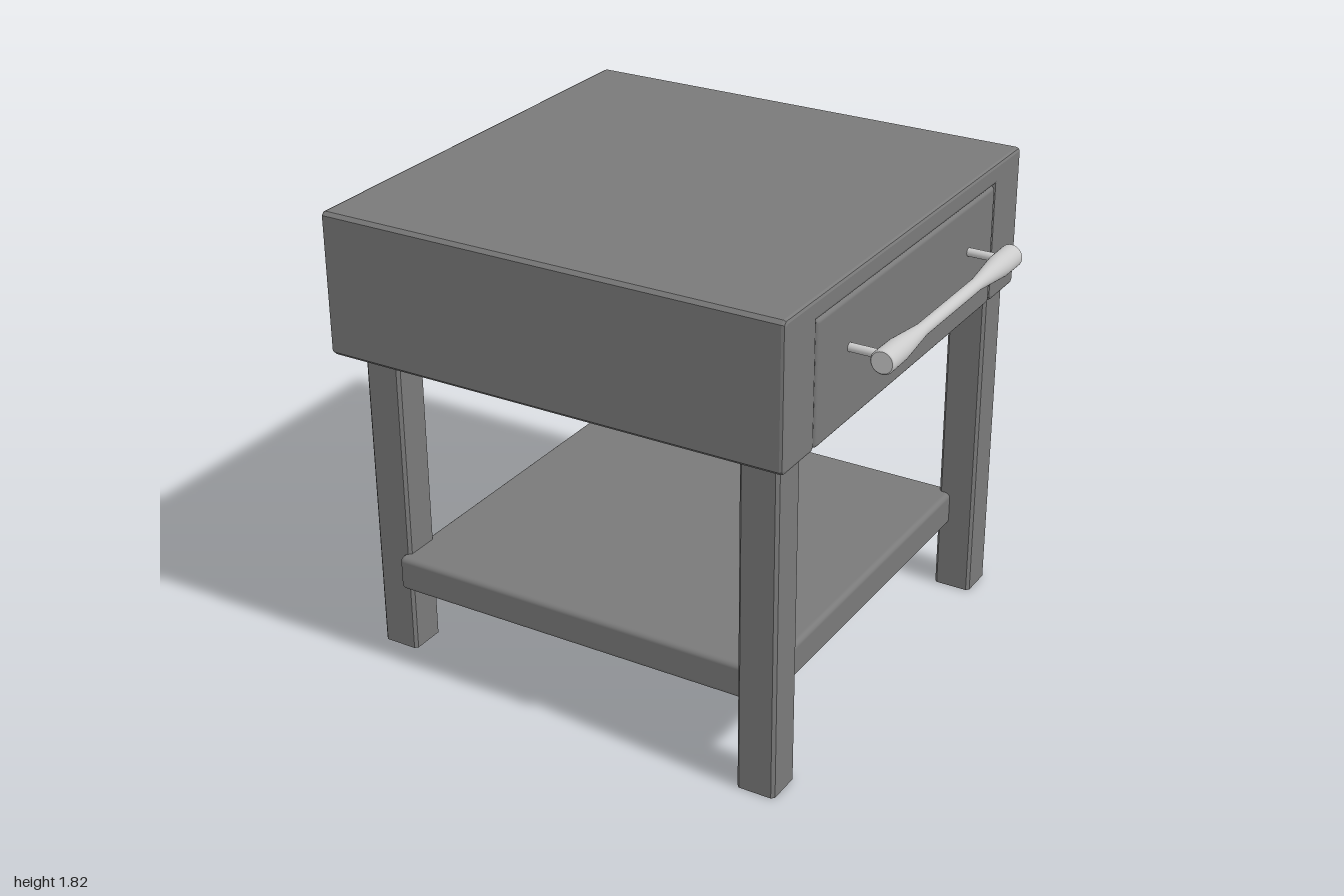
import * as THREE from 'three';
import { RoundedBoxGeometry } from 'three/addons/geometries/RoundedBoxGeometry.js';

const dark = new THREE.MeshStandardMaterial({ color: 0x7a7a7a });
const darkThin = new THREE.MeshStandardMaterial({ color: 0x7a7a7a, side: THREE.DoubleSide });
const metal = new THREE.MeshStandardMaterial({ color: 0xcccccc });

function add(group, name, geometry, material, x = 0, y = 0, z = 0) {
  const mesh = new THREE.Mesh(geometry, material);
  mesh.name = name;
  mesh.position.set(x, y, z);
  group.add(mesh);
  return mesh;
}

// Box given by its limits, with softly rounded edges
function roundedBox(group, name, [x0, x1], [y0, y1], [z0, z1], r) {
  const geometry = new RoundedBoxGeometry(x1 - x0, y1 - y0, z1 - z0, 2, r);
  return add(group, name, geometry, dark, (x0 + x1) / 2, (y0 + y1) / 2, (z0 + z1) / 2);
}

// U-shaped casing running along x: top board and two side rails
function casingGeometry(length) {
  const W = 0.905, w = 0.69, top = 1.815, inner = 1.738, low = 1.275, c = 0.013;
  const half = [
    [w, inner], [w, low + c], [w + c, low], [W - c, low], [W, low + c], [W, top - c], [W - c, top],
  ];
  const mirrored = half.map(([x, y]) => [-x, y]).reverse();
  const shape = new THREE.Shape([...half, ...mirrored].map(([x, y]) => new THREE.Vector2(x, y)));
  const geometry = new THREE.ExtrudeGeometry(shape, {
    depth: length - 2 * c, bevelThickness: c, bevelSize: c, bevelOffset: -c, bevelSegments: 2,
  });
  return geometry.translate(0, 0, c - length / 2).rotateY(Math.PI / 2);
}

// Square tube with chamfered corners, open at both ends
function legGeometry(width, depth, height, c) {
  const geometry = new THREE.CylinderGeometry(1, 1, height, 8, 1, true, Math.PI / 8).toNonIndexed();
  const p = geometry.attributes.position;
  for (let i = 0; i < p.count; i++) {
    const x = p.getX(i), z = p.getZ(i);
    const wide = Math.abs(x) > Math.abs(z);
    p.setX(i, Math.sign(x) * (width / 2 - (wide ? 0 : c)));
    p.setZ(i, Math.sign(z) * (depth / 2 - (wide ? c : 0)));
  }
  geometry.computeVertexNormals();
  return geometry;
}

export function createModel() {
  const table = new THREE.Group();
  table.name = 'sideTable';

  // Casing and the drawer that passes right through it
  add(table, 'casing', casingGeometry(1.81), dark, -0.095);
  roundedBox(table, 'drawer', [-1, 0.81], [1.275, 1.735], [-0.685, 0.685], 0.015);

  // Legs: the left front one is set further in
  const leg = legGeometry(0.148, 0.148, 1.275, 0.011);
  const legs = [
    ['rightFrontLeg', -0.925, 0.652], ['rightBackLeg', -0.925, -0.798],
    ['leftFrontLeg', 0.707, 0.802], ['leftBackLeg', 0.707, -0.798],
  ];
  for (const [name, x, z] of legs) add(table, name, leg, darkThin, x, 0.6375, z);

  // Lower shelf
  roundedBox(table, 'shelf', [-0.88, 0.68], [0.275, 0.412], [-0.77, 0.76], 0.02);

  // Handle bar, slim in the middle, on two posts
  const handle = new THREE.Group();
  handle.name = 'handle';
  const ends = [[0.517, 0], [0.517, 0.039], [0.512, 0.044], [0.4, 0.043], [0.22, 0.024]];
  const profile = [...ends.map(([y, r]) => [-y, r]), ...ends.slice().reverse()];
  const points = [];
  profile.forEach(([y, r], i) => {
    points.push(new THREE.Vector2(r, y));
    // Doubled rim rings keep the end faces flat
    if (i === 1 || i === profile.length - 2) points.push(new THREE.Vector2(r, y));
  });
  const bar = add(handle, 'handleBar', new THREE.LatheGeometry(points, 32), metal, 0.955, 1.552, -0.003);
  bar.rotation.x = Math.PI / 2;
  for (const z of [-0.473, 0.457]) {
    const post = add(handle, 'handlePost', new THREE.CylinderGeometry(0.016, 0.016, 0.15, 20), metal, 0.875, 1.552, z);
    post.rotation.z = Math.PI / 2;
  }
  table.add(handle);
  return table;
}
